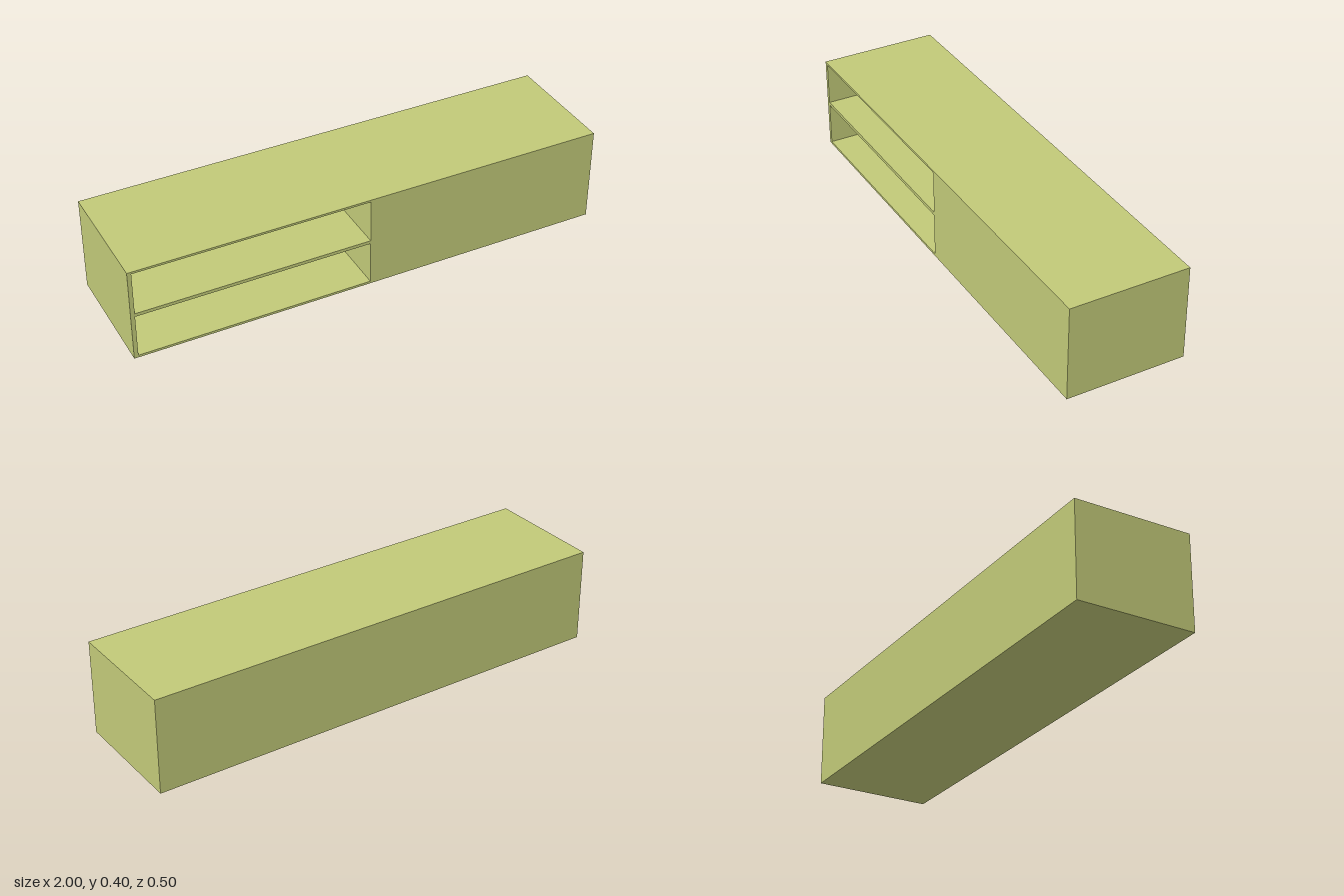
import * as THREE from 'three';

const W = 2, H = 0.4, D = 0.5;
const BACK = 0.015; // thickness of the back panel behind the shelves

// Box without its +z face; inward = true turns it into a cavity seen from inside
function openBox(w, h, d, inward) {
  const g = new THREE.BoxGeometry(w, h, d);
  const index = Array.from(g.index.array);
  index.splice(24, 6);
  if (inward) index.reverse();
  g.clearGroups();
  g.setIndex(index);
  g.computeVertexNormals();
  return g;
}

function rectangle(path, x0, y0, x1, y1) {
  path.moveTo(x0, y0);
  path.lineTo(x1, y0);
  path.lineTo(x1, y1);
  path.lineTo(x0, y1);
  path.closePath();
  return path;
}

export function createModel() {
  const group = new THREE.Group();
  group.name = 'lowCabinet';
  const material = new THREE.MeshStandardMaterial({ color: 0xc1c978 });

  const add = (name, geometry, x, y, z) => {
    const mesh = new THREE.Mesh(geometry, material);
    mesh.name = name;
    mesh.position.set(x, y, z);
    group.add(mesh);
  };

  // Outer carcass: top, bottom, ends and back
  add('carcass', openBox(W, H, D, false), 0, H / 2, 0);

  // Front face with two shelf openings on one half
  const x0 = -0.983, x1 = -0.009;
  const openings = [
    { name: 'lowerShelf', y0: 0.01, y1: 0.194 },
    { name: 'upperShelf', y0: 0.208, y1: 0.391 },
  ];
  const front = rectangle(new THREE.Shape(), -W / 2, 0, W / 2, H);
  for (const o of openings) front.holes.push(rectangle(new THREE.Path(), x0, o.y0, x1, o.y1));
  add('frontFace', new THREE.ShapeGeometry(front), 0, 0, D / 2);

  // Recessed shelf compartments
  for (const o of openings) {
    add(o.name, openBox(x1 - x0, o.y1 - o.y0, D - BACK, true), (x0 + x1) / 2, (o.y0 + o.y1) / 2, BACK / 2);
  }

  return group;
}
